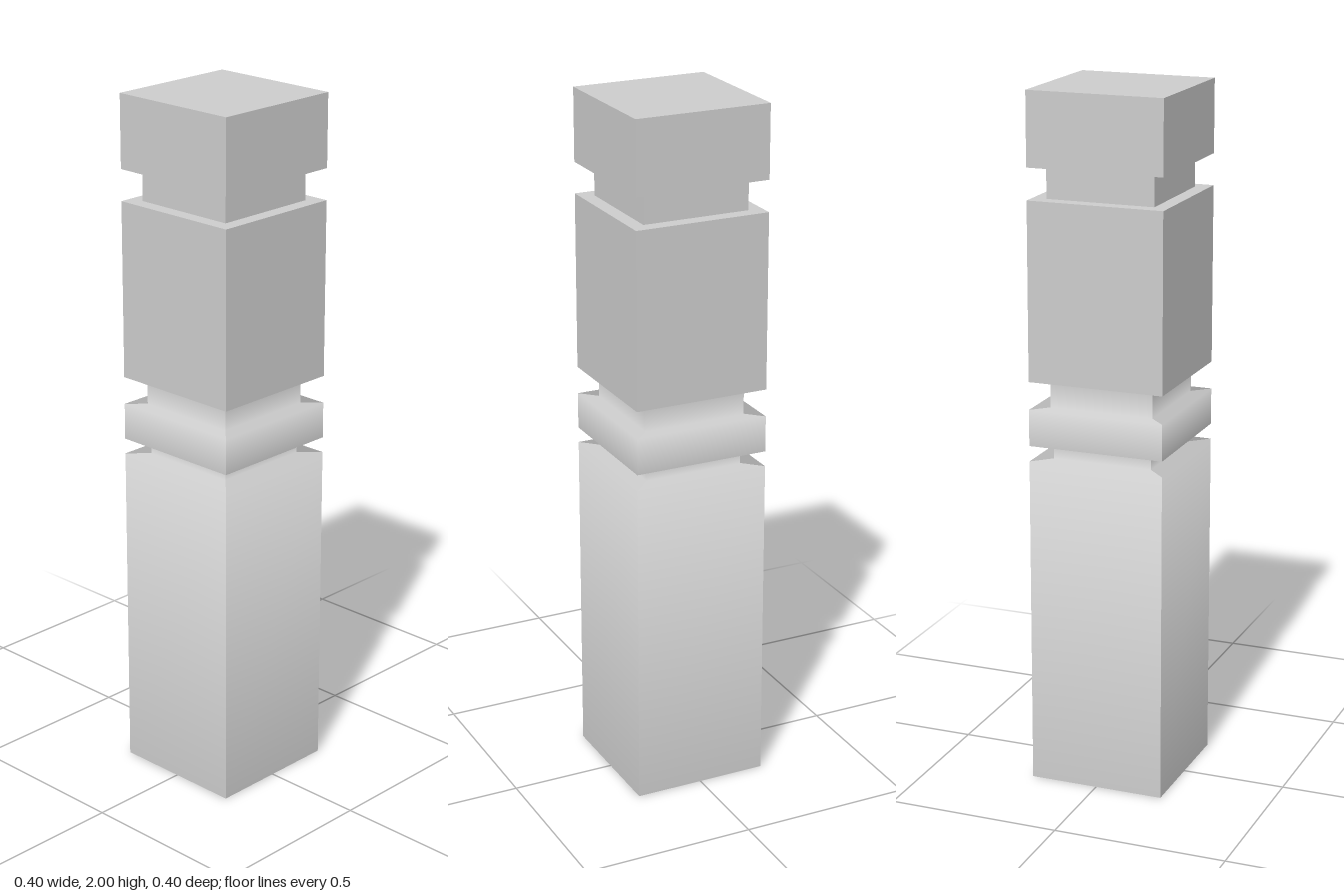
import * as THREE from 'three';

const HALF = 0.198;

// Four mirrored side strips following a [halfWidth, y] profile, open at the bottom.
// Smooth sections blend normals along the profile; corners always stay sharp.
function squareSection(profile, smooth) {
  const positions = [], normals = [], index = [];
  const segs = profile.slice(1).map(([r, y], i) =>
    new THREE.Vector2(y - profile[i][1], profile[i][0] - r).normalize());
  const normalAt = (seg, point) => {
    const other = point > seg ? seg + 1 : seg - 1;
    const n = segs[seg].clone();
    if (smooth && segs[other]) n.add(segs[other]).normalize();
    return n;
  };
  const axis = new THREE.Vector3(0, 1, 0);
  for (let side = 0; side < 4; side++) {
    const put = (x, y, z, list) =>
      list.push(...new THREE.Vector3(x, y, z).applyAxisAngle(axis, side * Math.PI / 2).toArray());
    segs.forEach((_, s) => {
      const base = positions.length / 3;
      for (const p of [s, s + 1]) {
        const [r, y] = profile[p], n = normalAt(s, p);
        for (const sign of [-1, 1]) {
          put(sign * r, y, r, positions);
          put(0, n.y, n.x, normals);
        }
      }
      index.push(base, base + 1, base + 3, base, base + 3, base + 2);
    });
  }
  const geometry = new THREE.BufferGeometry();
  geometry.setAttribute('position', new THREE.Float32BufferAttribute(positions, 3));
  geometry.setAttribute('normal', new THREE.Float32BufferAttribute(normals, 3));
  geometry.setIndex(index);
  return geometry;
}

export function createModel() {
  const group = new THREE.Group();
  const grey = new THREE.MeshStandardMaterial({ color: 0xcccccc, side: THREE.DoubleSide });
  grey.name = 'light grey';

  const add = (name, profile, smooth = false) => {
    const mesh = new THREE.Mesh(squareSection(profile, smooth), grey);
    mesh.name = name;
    group.add(mesh);
  };

  // Each section is a hollow wall, a ledge and a narrower neck under the next one
  const section = (name, bottom, ledge, top, neck, smooth) =>
    add(name, [[HALF, bottom], [HALF, ledge], [neck, ledge], [neck, top]], smooth);

  section('lowerPost', 0, 0.96, 1.005, 0.146, true);
  section('middleBand', 1.005, 1.11, 1.19, 0.152, true);
  section('upperBlock', 1.19, 1.70, 1.79, 0.157, false);

  // Cap closed by a flat top
  add('cap', [[HALF, 1.79], [HALF, 2], [0, 2]]);
  return group;
}
